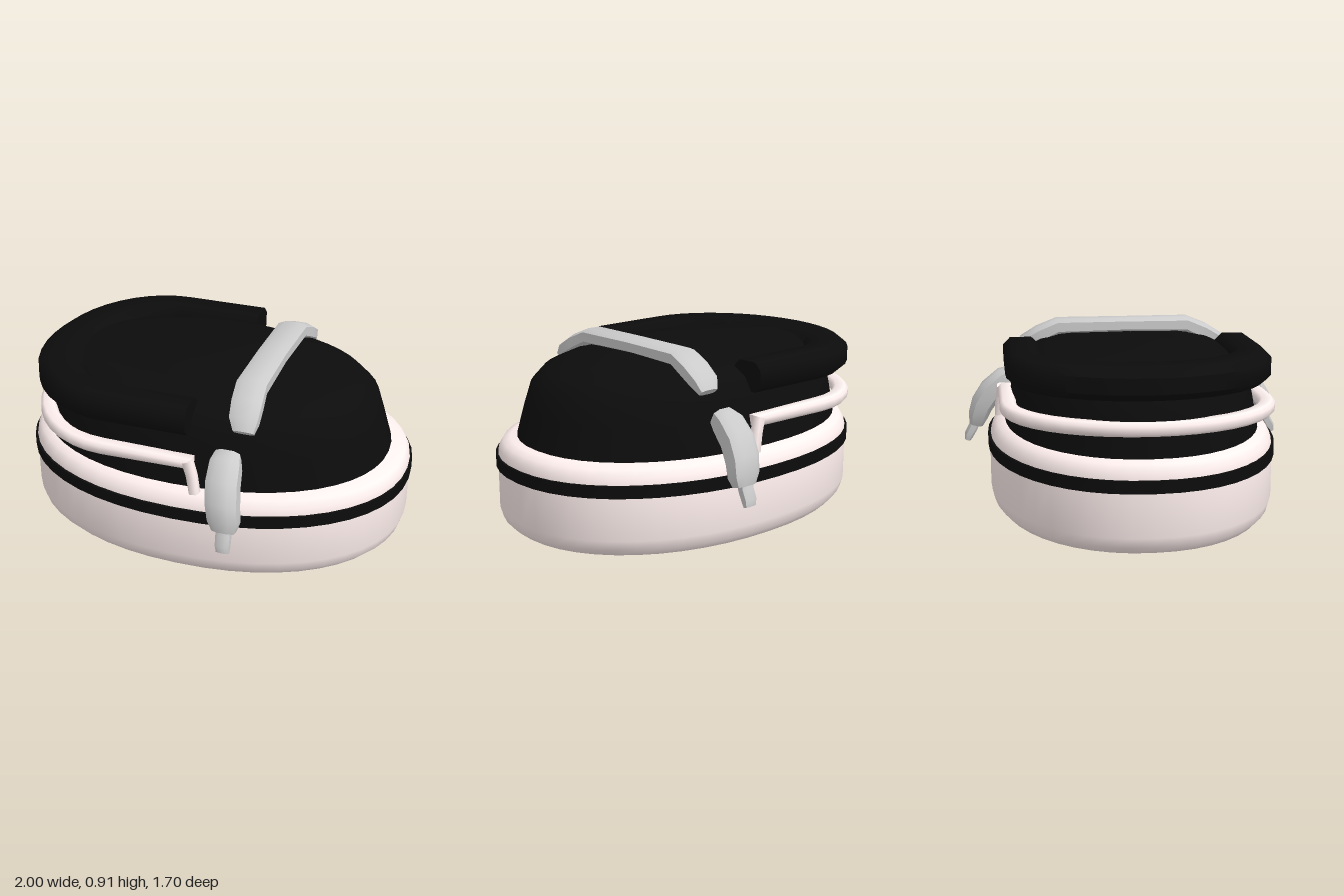
import * as THREE from 'three';
import { toCreasedNormals } from 'three/addons/utils/BufferGeometryUtils.js';

const V = (x, y, z) => new THREE.Vector3(x, y, z);
const material = (color) => new THREE.MeshStandardMaterial({ color });

// Skin over a row of rings that run counter-clockwise about the travel direction, closed at both ends
function loft(rings, crease = 0.7) {
  const n = rings[0].length, last = rings.length - 1, index = [];
  for (let i = 0; i < last; i++) {
    for (let j = 0; j < n; j++) {
      const k = (j + 1) % n, a = i * n + j, b = i * n + k;
      index.push(a, b, b + n, a, b + n, a + n);
    }
  }
  for (let j = 1; j < n - 1; j++) {
    index.push(0, j + 1, j, last * n, last * n + j, last * n + j + 1);
  }
  const geometry = new THREE.BufferGeometry().setFromPoints(rings.flat());
  geometry.setIndex(index);
  return toCreasedNormals(geometry.toNonIndexed(), crease);
}

// Horizontal oval rings from rows of [y, xMin, xMax, halfDepth]
function ovalStack(rows, crease) {
  const power = 2 / 2.15, sides = 48;
  const bend = (v) => Math.sign(v) * Math.abs(v) ** power;
  return loft(rows.map(([y, x0, x1, depth]) => Array.from({ length: sides }, (_, j) => {
    const a = (j / sides) * Math.PI * 2;
    return V((x0 + x1) / 2 + bend(Math.sin(a)) * (x1 - x0) / 2, y, bend(Math.cos(a)) * depth);
  })), crease);
}

// Chamfered box section swept along points [x, y, z, halfAcross, halfAlongRef]
const section = [[1, -0.5], [1, 0.5], [0.6, 1], [-0.6, 1], [-1, 0.5], [-1, -0.5], [-0.6, -1], [0.6, -1]];
function sweep(points, ref, crease = 0.9) {
  const pos = points.map((p) => V(p[0], p[1], p[2]));
  return loft(points.map((p, i) => {
    const t = pos[Math.min(i + 1, pos.length - 1)].clone().sub(pos[Math.max(i - 1, 0)]);
    const side = ref.clone().cross(t).normalize();
    return section.map(([s, r]) => pos[i].clone().addScaledVector(side, s * p[3]).addScaledVector(ref, r * p[4]));
  }), crease);
}

// Horseshoe path: straight sides joined by a half ellipse round the heel
function horseshoe(xEnd, rx, rz, y, sideHalf, heelHalf, height, endHeight) {
  const points = [], start = -0.38, steps = 20;
  points.push([xEnd, y, rz, sideHalf, endHeight]);
  for (let i = 0; i <= steps; i++) {
    const a = (i / steps) * Math.PI, s = Math.sin(a);
    points.push([start - rx * s, y, rz * Math.cos(a), sideHalf + (heelHalf - sideHalf) * s, height]);
  }
  points.push([xEnd, y, -rz, sideHalf, endHeight]);
  return points;
}

export function createModel() {
  const group = new THREE.Group();
  const white = material(0xfff0ee), black = material(0x0c0c0c), grey = material(0xcccccc);
  const add = (name, geometry, mat) => {
    const mesh = new THREE.Mesh(geometry, mat);
    mesh.name = name;
    group.add(mesh);
  };
  const X = V(1, 0, 0), Y = V(0, 1, 0), Z = V(0, 0, 1);

  // Thick oval sole with rounded lower and upper rims
  add('sole', ovalStack([
    [0, -0.9, 0.9, 0.635], [0.015, -0.94, 0.94, 0.675], [0.05, -0.975, 0.975, 0.705],
    [0.1, -0.99, 0.99, 0.718], [0.36, -0.99, 0.99, 0.718], [0.4, -0.985, 0.985, 0.705],
    [0.435, -0.965, 0.965, 0.68], [0.45, -0.93, 0.93, 0.64],
  ], 0.9), white);

  // Dark stripe round the sole
  add('soleStripe', ovalStack([[0.31, -1, 1, 0.728], [0.37, -1, 1, 0.728]]), black);

  // Domed upper
  add('upper', ovalStack([
    [0.43, -0.93, 0.895, 0.645], [0.6, -0.9, 0.845, 0.61], [0.71, -0.88, 0.81, 0.58],
    [0.775, -0.84, 0.74, 0.54], [0.815, -0.78, 0.62, 0.47], [0.84, -0.7, 0.49, 0.34],
  ], 0.9), black);

  // Padded collar round the heel
  add('collar', sweep(horseshoe(0.045, 0.43, 0.55, 0.78, 0.09, 0.125, 0.075, 0.073), Y), black);

  // Light band under the collar
  add('heelBand', sweep(horseshoe(0.08, 0.515, 0.63, 0.582, 0.04, 0.04, 0.032, 0.026), Y), white);

  // Strap over the top, with its ends bent down
  add('topStrap', sweep([
    [0.305, 0.745, 0.56, 0.02, 0.05], [0.295, 0.785, 0.52, 0.037, 0.07], [0.285, 0.83, 0.44, 0.042, 0.075],
    [0.275, 0.873, 0.345, 0.04, 0.075], [0.27, 0.877, 0, 0.036, 0.073], [0.275, 0.873, -0.345, 0.04, 0.075],
    [0.285, 0.83, -0.44, 0.042, 0.075], [0.295, 0.785, -0.52, 0.037, 0.07], [0.305, 0.745, -0.56, 0.02, 0.05],
  ], X), grey);

  for (const [label, s] of [['front', 1], ['back', -1]]) {
    // Short leg at the end of the band
    add(label + 'BandTab', sweep([
      [0.06, 0.6, s * 0.65, 0.027, 0.025], [0.085, 0.53, s * 0.66, 0.026, 0.025], [0.1, 0.44, s * 0.665, 0.025, 0.025],
    ], Z), white);

    // Strap arching out over the sole
    add(label + 'SideStrap', sweep([
      [0.24, 0.625, s * 0.58, 0.045, 0.06], [0.245, 0.6, s * 0.63, 0.06, 0.073], [0.255, 0.535, s * 0.705, 0.062, 0.077],
      [0.27, 0.46, s * 0.755, 0.058, 0.077], [0.285, 0.39, s * 0.78, 0.05, 0.073], [0.29, 0.345, s * 0.79, 0.035, 0.055],
    ], X), grey);

    // Narrow tongue at the strap's end
    add(label + 'StrapTip', sweep([
      [0.29, 0.4, s * 0.785, 0.025, 0.035], [0.293, 0.33, s * 0.805, 0.025, 0.035], [0.297, 0.285, s * 0.83, 0.024, 0.034],
      [0.3, 0.258, s * 0.838, 0.015, 0.03],
    ], X), grey);
  }
  return group;
}
